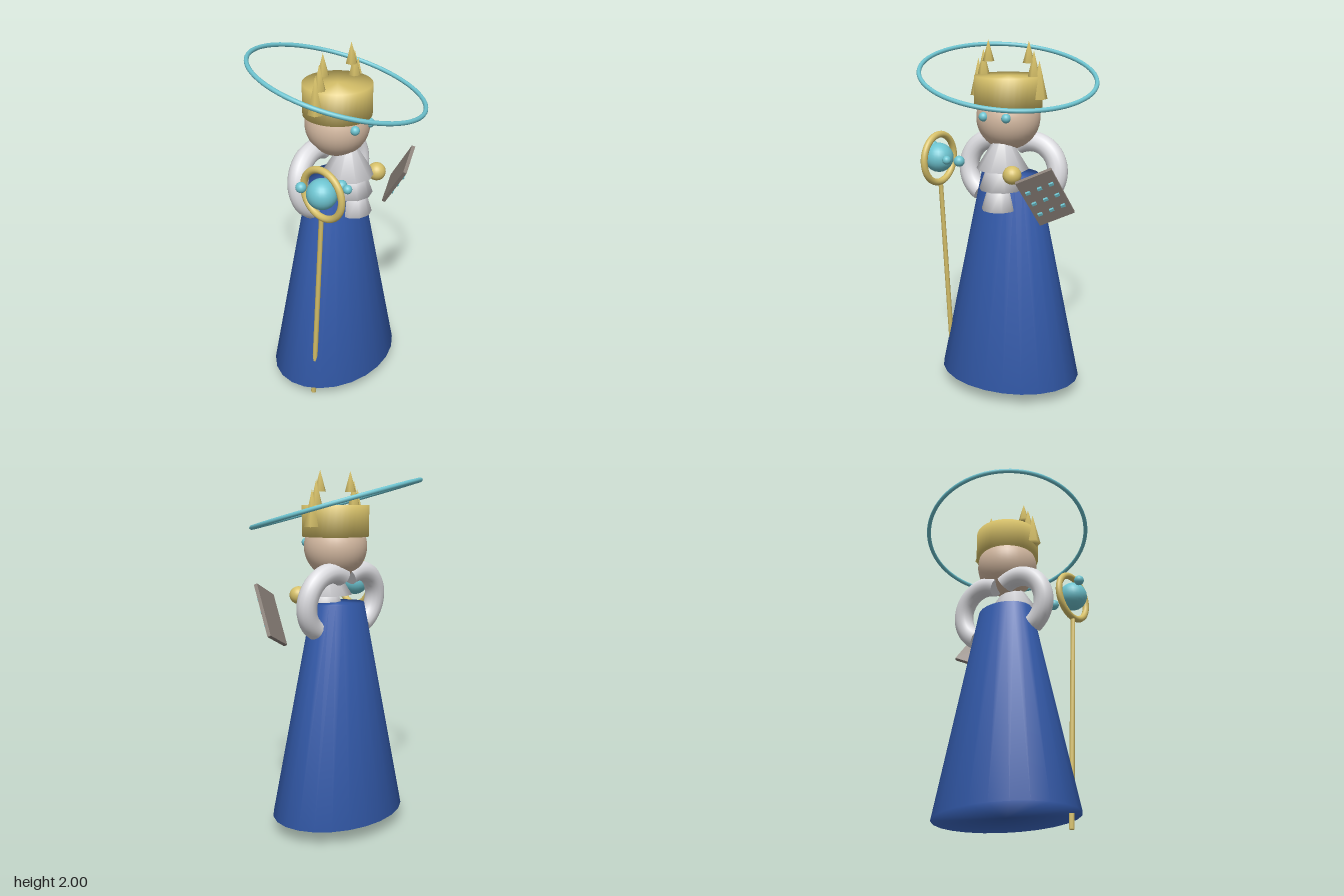
import * as THREE from 'three';
import { mergeVertices } from 'three/addons/utils/BufferGeometryUtils.js';

const mat = (name, color) => {
  const m = new THREE.MeshStandardMaterial({ color });
  m.name = name;
  return m;
};

// Share corner vertices so caps and sides blend into one soft shade
function soften(geo) {
  geo.deleteAttribute('uv');
  geo.deleteAttribute('normal');
  const g = mergeVertices(geo, 1e-4);
  g.computeVertexNormals();
  return g;
}

export function createModel() {
  const blue = mat('robe blue', 0x345cae);
  const gold = mat('gold', 0xd6c069);
  const skin = mat('skin', 0xd6bba3);
  const white = mat('white', 0xdcdce0);
  const teal = mat('pale teal', 0x6ec4d0);
  const stone = mat('stone grey', 0x8c827a);

  const model = new THREE.Group();
  const add = (name, geo, material, x = 0, y = 0, z = 0, parent = model) => {
    const mesh = new THREE.Mesh(geo, material);
    mesh.name = name;
    mesh.position.set(x, y, z);
    parent.add(mesh);
    return mesh;
  };
  const ball = (name, r, material, x, y, z) =>
    add(name, new THREE.SphereGeometry(r, 24, 16), material, x, y, z);
  const frustum = (top, bottom, h, sides) =>
    soften(new THREE.CylinderGeometry(top, bottom, h, sides));

  // Oval robe
  const robe = frustum(0.165, 0.42, 1.2, 24);
  robe.scale(1, 1, 0.775);
  robe.computeVertexNormals();
  add('robe', robe, blue, 0, 0.68, -0.02);

  // Head and eyes
  add('head', new THREE.SphereGeometry(0.175, 32, 24), skin, 0, 1.59, 0);
  for (const s of [-1, 1]) ball('eye', 0.025, teal, s * 0.067, 1.61, 0.163);

  // Beard: three stepped tiers, each a little further forward
  const tiers = [
    [0.02, 0.145, 1.32, 0.2, 0.07],
    [0.08, 0.12, 1.21, 0.12, 0.09],
    [0.062, 0.097, 1.1, 0.12, 0.115],
  ];
  for (const [top, bottom, y, h, z] of tiers)
    add('beardTier', frustum(top, bottom, h, 10), white, 0, y + h / 2, z);

  // Crown with a leaning stack of spikes on each side
  add('crown', frustum(0.185, 0.185, 0.17, 40), gold, 0, 1.73, 0);
  const spikes = [
    [0.182, 1.7, 0.045, 0.2],
    [0.15, 1.8, 0.036, 0.15],
    [0.12, 1.885, 0.032, 0.115],
  ];
  for (const s of [-1, 1])
    for (const [x, y, r, h] of spikes)
      add('crownSpike', soften(new THREE.ConeGeometry(r, h, 6)), gold, s * x, y + h / 2, 0);

  // Tilted halo
  const halo = add('halo', new THREE.TorusGeometry(0.477, 0.012, 10, 80), teal, 0, 1.82, 0);
  halo.quaternion.setFromUnitVectors(
    new THREE.Vector3(0, 0, 1),
    new THREE.Vector3(0.177, 1, 0.216).normalize());

  // Curved sleeves, half rings closed at the cuff
  for (const s of [-1, 1]) {
    const arm = new THREE.Group();
    arm.name = s > 0 ? 'leftArm' : 'rightArm';
    arm.position.set(s * 0.11, 1.29, -0.05);
    arm.rotation.x = -0.14;
    model.add(arm);
    const start = s > 0 ? -Math.PI / 3 : Math.PI / 3;
    const sleeve = new THREE.TorusGeometry(0.165, 0.056, 14, 36, Math.PI);
    sleeve.rotateZ(start);
    add('sleeve', sleeve, white, 0, 0, 0, arm).rotation.z = 0;
    for (const end of [0, 1]) {
      const a = start + end * Math.PI;
      const cap = new THREE.CircleGeometry(0.056, 14);
      cap.rotateX(end ? -Math.PI / 2 : Math.PI / 2);
      cap.rotateZ(a);
      add('sleeveEnd', cap, white, 0.165 * Math.cos(a), 0.165 * Math.sin(a), 0, arm);
    }
  }

  // Staff with a ring around a floating orb
  const foot = new THREE.Vector3(-0.335, 0, 0.075);
  const tip = new THREE.Vector3(-0.345, 1.23, 0.157);
  const along = tip.clone().sub(foot);
  const mid = foot.clone().add(tip).multiplyScalar(0.5);
  const staff = add('staff', frustum(0.013, 0.015, along.length(), 8), gold, mid.x, mid.y, mid.z);
  staff.quaternion.setFromUnitVectors(new THREE.Vector3(0, 1, 0), along.normalize());
  add('staffRing', new THREE.TorusGeometry(0.133, 0.019, 12, 48), gold, -0.345, 1.36, 0.165)
    .rotation.y = 1.46;
  ball('staffOrb', 0.081, teal, -0.347, 1.365, 0.165);
  ball('smallOrb', 0.028, teal, -0.427, 1.413, 0.095);
  ball('smallOrb', 0.03, teal, -0.208, 1.36, 0.183);
  ball('smallOrb', 0.024, teal, -0.247, 1.375, 0.25);

  // Golden ball by the beard
  ball('goldenBall', 0.05, gold, 0.112, 1.315, 0.182);

  // Tilted tablet with a three by three grid of studs
  const tablet = new THREE.Group();
  tablet.name = 'tablet';
  const up = new THREE.Vector3(-0.064, 0.264, 0.177).normalize();
  const out = new THREE.Vector3(0.455, -0.418, 0.788).normalize();
  const side = new THREE.Vector3().crossVectors(up, out).normalize();
  out.crossVectors(side, up);
  tablet.quaternion.setFromRotationMatrix(new THREE.Matrix4().makeBasis(side, up, out));
  tablet.position.set(0.312, 1.221, 0.196);
  model.add(tablet);
  add('slab', new THREE.BoxGeometry(0.2, 0.32, 0.02), stone, 0, 0, 0, tablet);
  for (let i = -1; i <= 1; i++)
    for (let j = -1; j <= 1; j++)
      add('stud', new THREE.BoxGeometry(0.024, 0.015, 0.02), teal, i * 0.065, j * 0.08, 0.012, tablet);

  return model;
}
